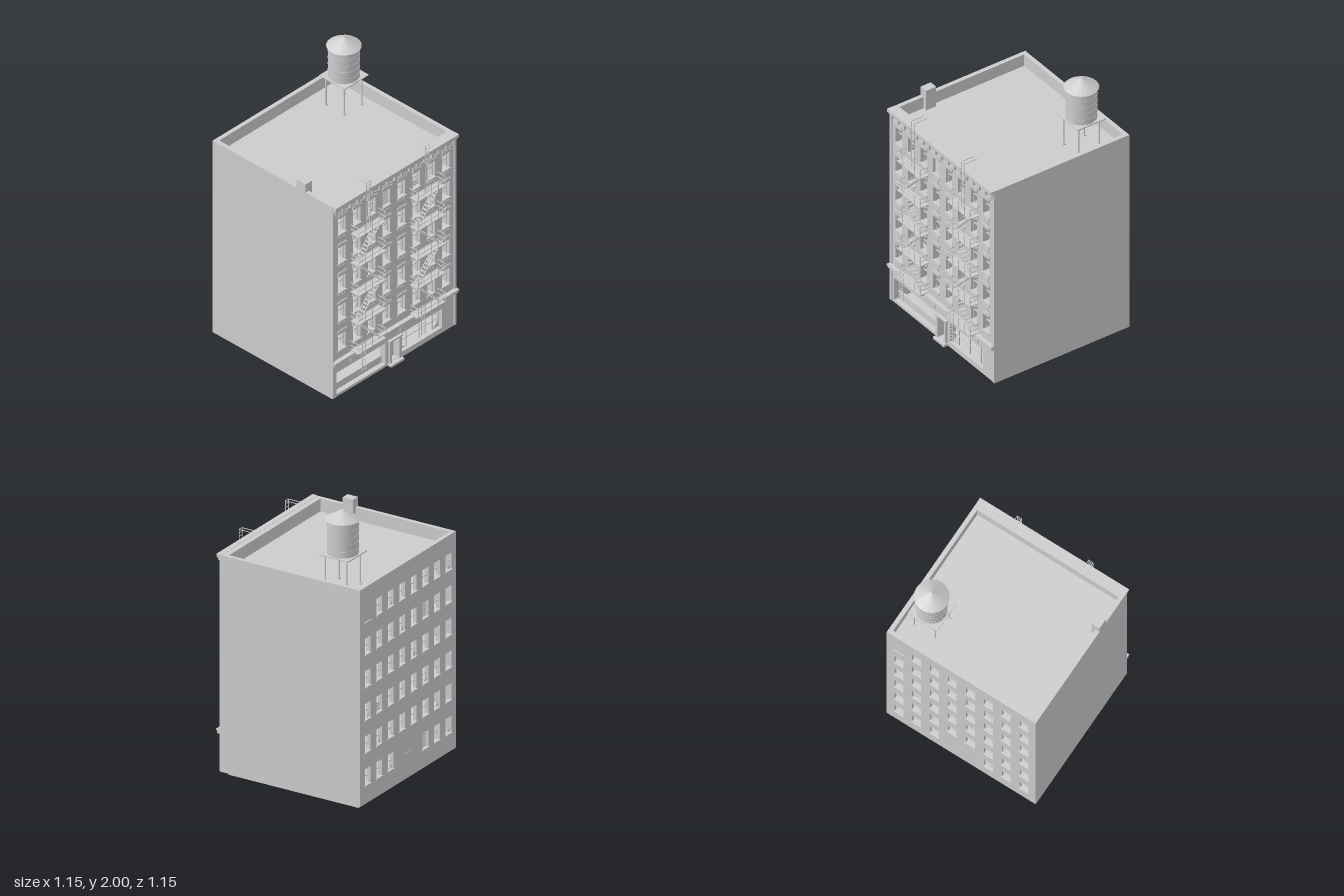
import * as THREE from 'three';

const grey = new THREE.MeshStandardMaterial({ color: 0xcccccc });
grey.name = 'plain grey';
const greySheet = new THREE.MeshStandardMaterial({ color: 0xcccccc, side: THREE.DoubleSide });
greySheet.name = 'plain grey sheet';

const COLUMNS = [-0.486, -0.348, -0.21, -0.071, 0.069, 0.206, 0.345, 0.48];
const STOREY = 0.23;

export function createModel() {
  const model = new THREE.Group();
  model.name = 'apartmentBuilding';

  const add = (parent, name, geometry, material = grey) => {
    const mesh = new THREE.Mesh(geometry, material);
    mesh.name = name;
    parent.add(mesh);
    return mesh;
  };
  const group = (name, parent = model) => {
    const g = new THREE.Group();
    g.name = name;
    parent.add(g);
    return g;
  };
  // box given by its limits on each axis
  const box = (parent, name, x0, x1, y0, y1, z0, z1) => {
    const mesh = add(parent, name, new THREE.BoxGeometry(x1 - x0, y1 - y0, z1 - z0));
    mesh.position.set((x0 + x1) / 2, (y0 + y1) / 2, (z0 + z1) / 2);
    return mesh;
  };
  // thin square bar between two points
  const bar = (parent, name, a, b, t = 0.004) => {
    const p = new THREE.Vector3(...a), q = new THREE.Vector3(...b);
    const mesh = add(parent, name, new THREE.BoxGeometry(t, t, p.distanceTo(q)));
    mesh.position.copy(p).add(q).multiplyScalar(0.5);
    mesh.lookAt(q);
    return mesh;
  };
  const ladder = (parent, x0, x1, y0, y1, z) => {
    for (const x of [x0, x1]) bar(parent, 'ladderRail', [x, y0, z], [x, y1, z]);
    for (let y = y0 + 0.015; y < y1; y += 0.025) bar(parent, 'ladderRung', [x0, y, z], [x1, y, z], 0.003);
  };
  const rect = (x0, x1, y0, y1) => [[x0, y0], [x1, y0], [x1, y1], [x0, y1]].map(p => new THREE.Vector2(...p));
  // wall panel with rectangular openings
  const wall = (name, holes, z0, z1) => {
    const shape = new THREE.Shape(rect(-0.575, 0.575, 0.03, 1.55));
    for (const h of holes) shape.holes.push(new THREE.Path(rect(...h).reverse()));
    const mesh = add(model, name, new THREE.ExtrudeGeometry(shape, { depth: z1 - z0, bevelEnabled: false }));
    mesh.position.z = z0;
  };
  // torn pane left in the corner of an opening
  const shard = (parent, x, y, z, dx, dy) => {
    const s = new THREE.Shape();
    s.moveTo(0, 0);
    s.lineTo(dx, 0);
    s.quadraticCurveTo(dx * 0.25, dy * 0.25, 0, dy);
    add(parent, 'paneCorner', new THREE.ShapeGeometry(s, 5), greySheet).position.set(x, y, z);
  };
  const blind = (parent, x, y0, y1, z) => {
    box(parent, 'blindBacking', x - 0.034, x + 0.034, y0, y1, z - 0.004, z);
    for (let y = y0 + 0.006; y < y1; y += 0.011) box(parent, 'blindSlat', x - 0.032, x + 0.032, y, y + 0.005, z, z + 0.004);
  };

  // openings
  const frontHoles = [[-0.535, -0.08, 0.045, 0.215], [-0.035, 0.035, 0.045, 0.205], [0.075, 0.445, 0.065, 0.215]];
  const backHoles = [];
  const frontWindows = [], backWindows = [];
  COLUMNS.forEach((x, c) => {
    for (let r = 0; r < 5; r++) {
      const y = 0.385 + r * STOREY;
      frontHoles.push([x - 0.035, x + 0.035, y, y + 0.13]);
      frontWindows.push({ x, y, c, r });
    }
    for (let r = 0; r < 6; r++) {
      if (r === 0 && (c === 3 || c === 4)) continue;
      const y = 0.155 + r * STOREY;
      backWindows.push({ x, y, c, r });
      if (!(r === 5 && c === 7)) backHoles.push([x - 0.034, x + 0.034, y, y + 0.115]);
    }
  });

  // shell
  wall('frontWall', frontHoles, 0.45, 0.5);
  wall('backWall', backHoles, -0.572, -0.542);
  for (const s of [-1, 1]) box(model, 'sideWall', s * 0.56 - 0.015, s * 0.56 + 0.015, 0.03, 1.55, -0.542, 0.45);
  box(model, 'foundation', -0.545, 0.54, 0, 0.03, -0.54, 0.46);
  box(model, 'groundSlab', -0.575, 0.575, 0.025, 0.035, -0.572, 0.5);
  box(model, 'innerPartition', -0.545, 0.545, 0.03, 1.45, -0.05, -0.03);
  for (const y of [0.33, 0.56, 0.79, 1.02, 1.25, 1.46]) {
    const floor = add(model, y > 1.4 ? 'roofDeck' : 'storeyFloor', new THREE.PlaneGeometry(1.09, 0.992));
    floor.rotation.x = -Math.PI / 2;
    floor.position.set(0, y, -0.046);
  }

  // front windows
  const front = group('frontWindows');
  for (const { x, y, c, r } of frontWindows) {
    box(front, 'sill', x - 0.042, x + 0.042, y - 0.014, y, 0.498, 0.508);
    box(front, 'lintel', x - 0.044, x + 0.044, y + 0.13, y + 0.15, 0.498, 0.508);
    box(front, 'lintelCap', x - 0.036, x + 0.036, y + 0.15, y + 0.157, 0.498, 0.506);
    box(front, 'meetingRail', x - 0.035, x + 0.035, y + 0.064, y + 0.07, 0.47, 0.478);
    for (const s of [-1, 1]) box(front, 'sashStile', x + s * 0.033 - 0.002, x + s * 0.033 + 0.002, y, y + 0.13, 0.47, 0.478);
    if (r > 0) box(front, 'spandrelPanel', x - 0.03, x + 0.03, y - 0.065, y - 0.025, 0.498, 0.503);
    const pick = (c * 5 + r * 3) % 7;
    if (pick < 2) shard(front, x - 0.033, y, 0.474, 0.03, 0.04);
    if (pick === 1 || pick === 4) shard(front, x + 0.033, y, 0.474, -0.025, 0.035);
  }
  blind(front, COLUMNS[3], 1.305, 1.435, 0.48);
  blind(front, COLUMNS[2], 0.62, 0.66, 0.48);
  blind(front, COLUMNS[5], 1.31, 1.35, 0.48);

  // back windows and door
  const back = group('backWindows');
  for (const { x, y, c, r } of backWindows) {
    box(back, 'sill', x - 0.039, x + 0.039, y - 0.008, y, -0.579, -0.57);
    if (r === 5 && c === 7) continue;
    box(back, 'meetingRail', x - 0.034, x + 0.034, y + 0.055, y + 0.06, -0.56, -0.554);
    const pick = (c * 3 + r * 2) % 5;
    if (pick === 0) shard(back, x - 0.034, y, -0.557, 0.03, 0.04);
    if (pick === 2) shard(back, x + 0.034, y, -0.557, -0.028, 0.04);
  }
  const backBlinds = group('backBlinds');
  backBlinds.rotation.y = Math.PI;
  blind(backBlinds, 0.21, 1.075, 1.19, 0.552);
  blind(backBlinds, -0.345, 0.615, 0.67, 0.552);
  blind(backBlinds, 0.21, 0.155, 0.27, 0.552);
  box(back, 'backDoor', -0.03, 0.05, 0.035, 0.21, -0.575, -0.57);

  // roof cornice with brackets, and the string course over the shops
  const trim = group('frontTrim');
  box(trim, 'corniceTop', -0.575, 0.575, 1.53, 1.552, 0.49, 0.53);
  box(trim, 'corniceStep', -0.572, 0.572, 1.512, 1.53, 0.498, 0.518);
  for (let i = 0; i < 17; i++) {
    const x = -0.552 + i * 0.069;
    box(trim, 'corniceBracket', x - 0.009, x + 0.009, 1.475, 1.512, 0.498, 0.515);
  }
  box(trim, 'friezeBand', -0.572, 0.572, 1.465, 1.475, 0.498, 0.506);
  box(trim, 'stringCourse', -0.575, 0.575, 0.29, 0.318, 0.498, 0.525);
  box(trim, 'stringCourseCap', -0.575, 0.575, 0.312, 0.32, 0.498, 0.532);
  for (const s of [-1, 1]) {
    box(trim, 'cornerPier', s * 0.565 - 0.01, s * 0.565 + 0.01, 0.03, 1.512, 0.498, 0.507);
    box(trim, 'signPanel', s > 0 ? 0.05 : -0.41, s > 0 ? 0.395 : -0.08, 0.24, 0.285, 0.498, 0.508);
  }

  // shopfronts and entrance
  const shops = group('shopfronts');
  box(shops, 'leftShopPanel', -0.535, -0.08, 0.045, 0.1, 0.452, 0.464);
  box(shops, 'leftShopRail', -0.535, -0.08, 0.098, 0.104, 0.452, 0.47);
  for (const x of [0.075, 0.138, 0.26, 0.382, 0.439]) box(shops, 'rightShopMullion', x, x + 0.005, 0.065, 0.215, 0.465, 0.475);
  box(shops, 'rightShopTransom', 0.075, 0.445, 0.135, 0.14, 0.465, 0.475);
  shard(shops, 0.077, 0.065, 0.47, 0.065, 0.06);
  shard(shops, 0.443, 0.065, 0.47, -0.065, 0.06);
  box(shops, 'entranceDoor', -0.035, 0.035, 0.035, 0.205, 0.452, 0.462);
  for (const s of [-1, 1]) box(shops, 'entranceColumn', s * 0.045 - 0.008, s * 0.045 + 0.008, 0.035, 0.215, 0.498, 0.515);
  box(shops, 'entranceHood', -0.06, 0.06, 0.21, 0.222, 0.498, 0.52);
  box(shops, 'entranceStep', -0.06, 0.06, 0.025, 0.042, 0.498, 0.535);

  // fire escapes
  for (const x0 of [-0.405, 0.147]) {
    const escape = group('fireEscape');
    const x1 = x0 + 0.255, z0 = 0.5, z1 = 0.573;
    for (let i = 0; i < 5; i++) {
      const y = 0.328 + i * 0.2315;
      box(escape, 'platform', x0, x1, y - 0.003, y + 0.003, z0, z1);
      for (const h of [0.038, 0.074]) {
        bar(escape, 'guardRail', [x0, y + h, z1], [x1, y + h, z1]);
        for (const x of [x0, x1]) bar(escape, 'endRail', [x, y + h, z0], [x, y + h, z1]);
      }
      for (let k = 0; k <= 4; k++) {
        const x = x0 + k * 0.06375;
        bar(escape, 'guardPost', [x, y, z1], [x, y + 0.074, z1], 0.003);
      }
      for (const x of [x0 + 0.02, x1 - 0.02]) {
        bar(escape, 'bracket', [x, y, z1], [x, y - 0.045, z0], 0.005);
        bar(escape, 'bracketFoot', [x, y, z0 + 0.003], [x, y - 0.048, z0 + 0.003], 0.005);
      }
      if (i === 4) continue;
      // zigzag stair to the next platform
      const a = i % 2 ? x0 + 0.02 : x1 - 0.02, b = i % 2 ? x1 - 0.02 : x0 + 0.02, top = y + 0.2315;
      for (const z of [0.512, 0.552]) bar(escape, 'stringer', [a, y, z], [b, top, z], 0.005);
      bar(escape, 'handrail', [a, y + 0.045, 0.552], [b, top + 0.045, 0.552], 0.003);
      for (let k = 1; k < 12; k++) {
        const x = a + (b - a) * k / 12, sy = y + 0.2315 * k / 12;
        box(escape, 'tread', x - 0.007, x + 0.007, sy - 0.001, sy + 0.002, 0.512, 0.552);
      }
    }
    ladder(escape, x0 + 0.032, x0 + 0.066, 0.175, 0.4, 0.572);
    // roof ladder with hooked top
    const l0 = x0 + 0.11, l1 = l0 + 0.035;
    ladder(escape, l0, l1, 1.255, 1.62, 0.535);
    for (const x of [l0, l1]) bar(escape, 'ladderHook', [x, 1.618, 0.535], [x, 1.618, 0.44]);
  }

  // chimney
  box(model, 'chimney', -0.575, -0.515, 1.45, 1.615, 0.18, 0.26);

  // water tank on its stand
  const tank = group('waterTank');
  tank.position.set(0.39, 0, -0.323);
  for (const x of [-0.082, 0.082]) for (const z of [-0.082, 0.082]) {
    const leg = add(tank, 'standLeg', new THREE.CylinderGeometry(0.005, 0.005, 0.235, 8));
    leg.position.set(x, 1.575, z);
    box(tank, 'legFoot', x - 0.01, x + 0.01, 1.46, 1.468, z - 0.01, z + 0.01);
  }
  box(tank, 'standDeck', -0.113, 0.113, 1.688, 1.696, -0.113, 0.113);
  add(tank, 'tankBody', new THREE.CylinderGeometry(0.104, 0.104, 0.24, 20)).position.y = 1.815;
  for (const y of [1.735, 1.785, 1.835, 1.885]) {
    add(tank, 'tankHoop', new THREE.CylinderGeometry(0.106, 0.106, 0.004, 20)).position.y = y;
  }
  const roof = add(tank, 'tankRoof', new THREE.ConeGeometry(0.116, 0.068, 20).toNonIndexed());
  roof.geometry.computeVertexNormals();
  roof.position.y = 1.966;

  return model;
}
